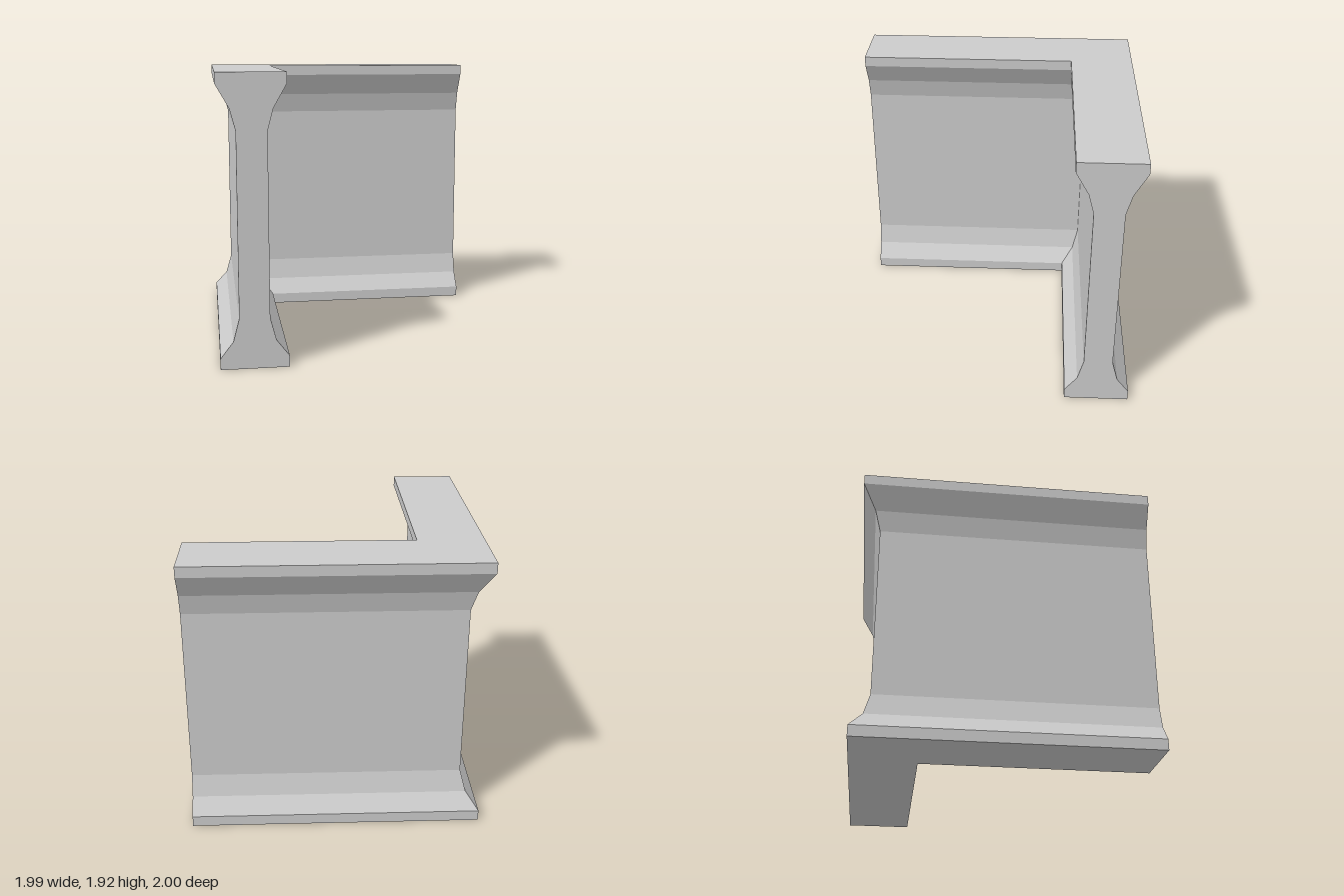
import * as THREE from 'three';

// Half width of the wall at each height
const HALF_PROFILE = [
  [0.225, 0], [0.225, 0.075], [0.14, 0.185], [0.1, 0.335],
  [0.1, 1.55], [0.137, 1.69], [0.225, 1.845], [0.225, 1.917],
];
const CENTRE_X = -0.77, CENTRE_Z = -0.772;
const END_X = 0.993, END_Z = 1;

// Closed, mirrored cross-section, counter-clockwise
const section = [
  ...HALF_PROFILE.map(([w, y]) => new THREE.Vector2(w, y)),
  ...HALF_PROFILE.slice().reverse().map(([w, y]) => new THREE.Vector2(-w, y)),
];

// One arm of the wall, from the mitred corner to a flat end cap
function wallArm(name, endPoint, flip, material) {
  const corner = section.map((p) => [CENTRE_X + p.x, p.y, CENTRE_Z + p.x]);
  const end = section.map(endPoint);
  const positions = [];
  const triangle = (a, b, c) => positions.push(...a, ...(flip ? c : b), ...(flip ? b : c));

  // Long faces along the arm
  section.forEach((_, i) => {
    const j = (i + 1) % section.length;
    triangle(corner[i], corner[j], end[j]);
    triangle(corner[i], end[j], end[i]);
  });
  // End cap
  for (const [a, b, c] of THREE.ShapeUtils.triangulateShape(section, [])) {
    triangle(end[a], end[b], end[c]);
  }

  const geometry = new THREE.BufferGeometry();
  geometry.setAttribute('position', new THREE.Float32BufferAttribute(positions, 3));
  geometry.computeVertexNormals();
  const mesh = new THREE.Mesh(geometry, material);
  mesh.name = name;
  return mesh;
}

export function createModel() {
  const group = new THREE.Group();
  group.name = 'cornerWall';
  const material = new THREE.MeshStandardMaterial({ color: 0xcccccc, flatShading: true });
  group.add(
    wallArm('sideWall', (p) => [CENTRE_X + p.x, p.y, END_Z], false, material),
    wallArm('backWall', (p) => [END_X, p.y, CENTRE_Z + p.x], true, material),
  );
  return group;
}
